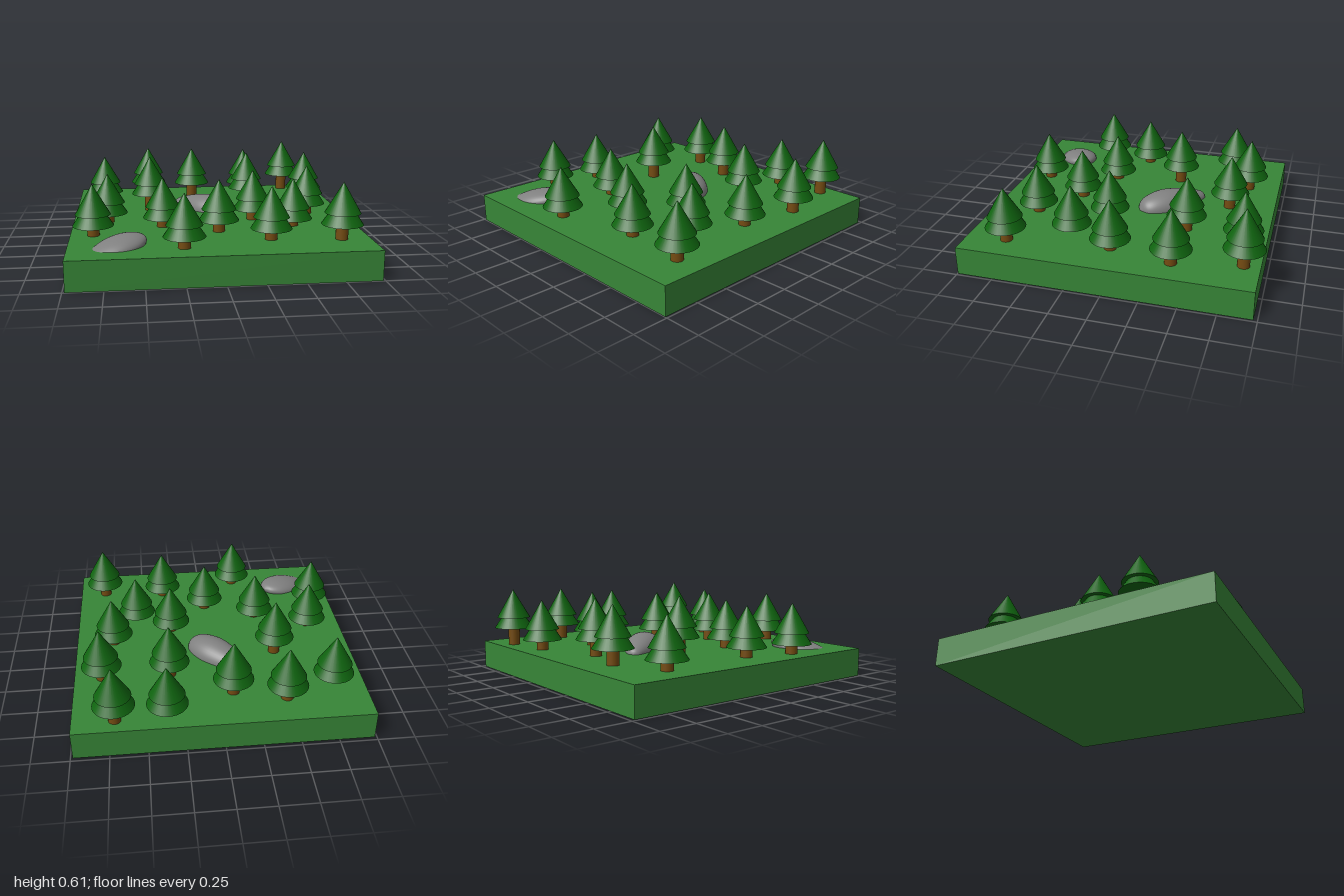
import * as THREE from 'three';

const flat = (name, color) => {
  const m = new THREE.MeshStandardMaterial({ color });
  m.name = name;
  return m;
};

const GROUND = 0.198;

// Tree positions and tip heights: [x, z, tip]
const TREES = [
  [-0.78, -0.585, 0.545], [-0.432, -0.745, 0.585], [-0.083, -0.65, 0.59],
  [0.365, -0.812, 0.55], [0.706, -0.863, 0.605], [0.33, -0.415, 0.588],
  [0.793, -0.413, 0.584], [-0.432, -0.21, 0.605], [-0.74, 0.117, 0.545],
  [-0.36, 0.28, 0.545], [0.012, 0.442, 0.557], [0.29, 0.145, 0.555],
  [0.716, 0.012, 0.555], [0.542, 0.342, 0.53], [-0.83, 0.457, 0.547],
  [-0.248, 0.805, 0.553], [0.33, 0.67, 0.552], [0.79, 0.716, 0.58],
];

export function createModel() {
  const grass = flat('grass green', 0x378537);
  const pine = flat('pine green', 0x0f640f);
  const bark = flat('bark brown', 0x754c12);
  const stone = flat('stone grey', 0x808080);

  const model = new THREE.Group();
  model.name = 'forestTile';

  const add = (parent, name, geometry, material, x, y, z) => {
    const mesh = new THREE.Mesh(geometry, material);
    mesh.name = name;
    mesh.position.set(x, y, z);
    parent.add(mesh);
    return mesh;
  };

  // Ground slab
  add(model, 'ground', new THREE.BoxGeometry(1.97, GROUND, 1.972), grass, 0, GROUND / 2, 0.012);

  // Trees: a trunk and two overlapping cones, measured down from the tip
  const trunk = new THREE.CylinderGeometry(0.041, 0.041, 0.24, 32);
  const upper = new THREE.ConeGeometry(0.118, 0.205, 32);
  const lower = new THREE.ConeGeometry(0.137, 0.205, 32);
  TREES.forEach(([x, z, tip], i) => {
    const tree = new THREE.Group();
    tree.name = `tree${i + 1}`;
    tree.position.set(x, tip, z);
    add(tree, 'trunk', trunk, bark, 0, -0.34, 0);
    add(tree, 'lowerFoliage', lower, pine, 0, -0.1775, 0);
    add(tree, 'upperFoliage', upper, pine, 0, -0.1025, 0);
    model.add(tree);
  });

  // Rocks: egg-shaped lathes laid on their side, squashed, tilted and turned
  const rock = (name, profile, length, squash, tilt, turn, x, y, z) => {
    const curve = new THREE.SplineCurve(profile.map(([r, s]) => new THREE.Vector2(r, s)));
    const points = curve.getPoints(32).map((p) => new THREE.Vector2(Math.max(p.x, 0), p.y));
    const geometry = new THREE.LatheGeometry(points, 40);
    geometry.translate(0, -length / 2, 0);
    geometry.rotateZ(-Math.PI / 2);
    geometry.scale(1, squash, 1);
    geometry.rotateZ(tilt);
    geometry.rotateY(turn);
    add(model, name, geometry, stone, x, y, z);
  };

  rock('longRock', [
    [0, 0], [0.042, 0.018], [0.078, 0.1], [0.11, 0.21], [0.126, 0.33],
    [0.108, 0.44], [0.068, 0.51], [0, 0.54],
  ], 0.54, 0.86, 0, -0.828, -0.033, GROUND, -0.234);

  rock('flatRock', [
    [0, 0], [0.045, 0.012], [0.08, 0.05], [0.122, 0.143], [0.135, 0.235],
    [0.117, 0.325], [0.066, 0.395], [0, 0.423],
  ], 0.423, 0.5, 0.18, 0.571, -0.669, 0.188, 0.722);

  return model;
}
